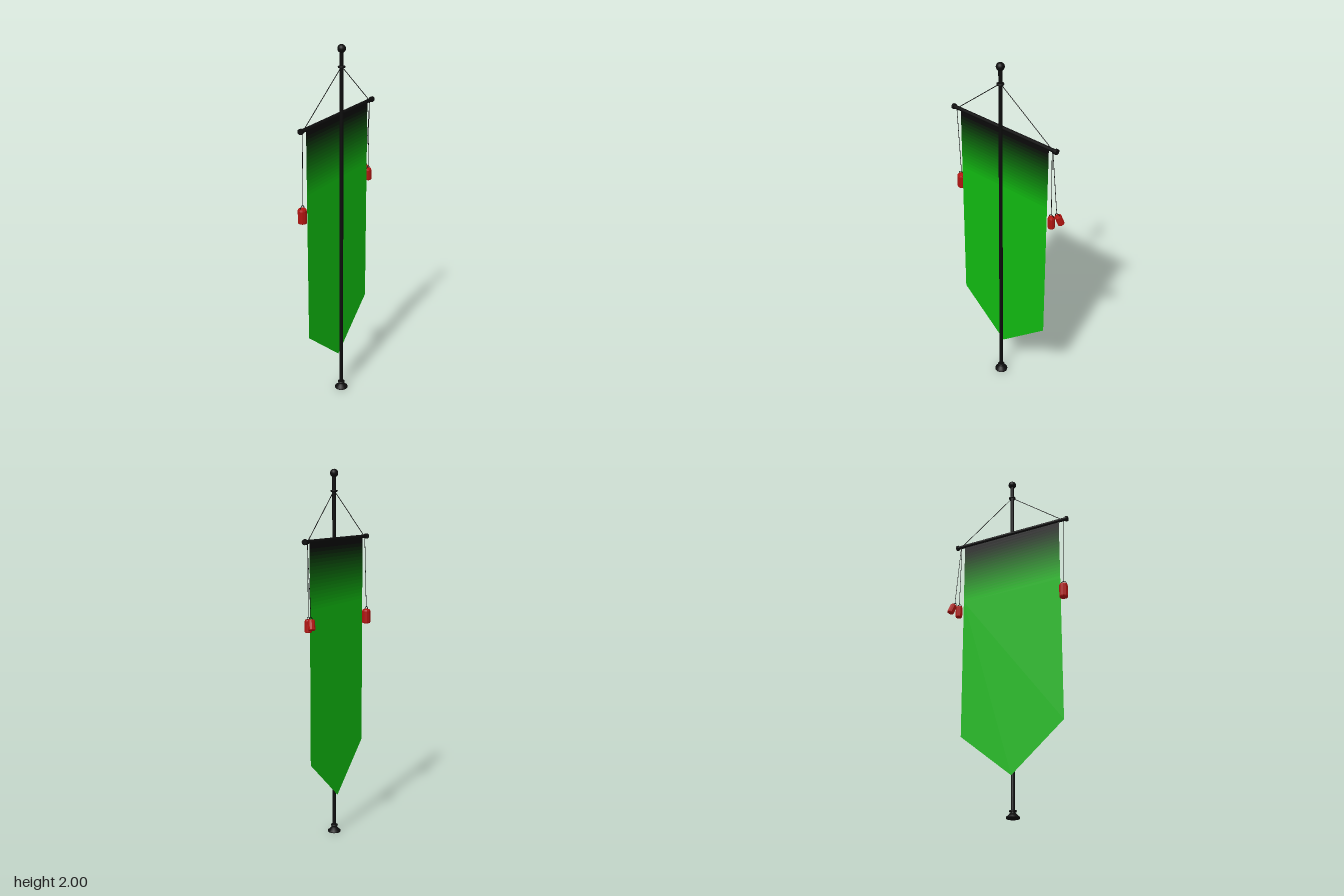
import * as THREE from 'three';

const V = (x, y, z) => new THREE.Vector3(x, y, z);
const UP = V(0, 1, 0);
const POLE_X = 0.022, MID_Z = 0.012, BAR_X = 0.002, BAR_Y = 1.635;

export function createModel() {
  const model = new THREE.Group();
  const black = new THREE.MeshStandardMaterial({ color: 0x0c0c0c });
  const red = new THREE.MeshStandardMaterial({ color: 0xb01410, flatShading: true });

  const add = (name, geometry, material, parent = model) => {
    const mesh = new THREE.Mesh(geometry, material);
    mesh.name = name;
    parent.add(mesh);
    return mesh;
  };

  // Straight round rod between two points
  const rod = (name, a, b, radius, sides = 6) => {
    const mesh = add(name, new THREE.CylinderGeometry(radius, radius, a.distanceTo(b), sides), black);
    mesh.position.copy(a).add(b).multiplyScalar(0.5);
    mesh.quaternion.setFromUnitVectors(UP, b.clone().sub(a).normalize());
    return mesh;
  };

  // Pole with flared foot, collar rings and ball finial
  rod('pole', V(POLE_X, 0.01, MID_Z), V(POLE_X, 1.97, MID_Z), 0.01, 16);
  const foot = [[0, 0], [0.036, 0], [0.036, 0.007], [0.027, 0.014], [0.018, 0.025], [0.01, 0.027]];
  add('foot', new THREE.LatheGeometry(foot.map(p => new THREE.Vector2(...p)), 16), black)
    .position.set(POLE_X, 0, MID_Z);
  for (const [name, y] of [['footCollar', 0.037], ['cordCollar', 1.886]]) {
    const ring = add(name, new THREE.TorusGeometry(0.015, 0.005, 8, 16), black);
    ring.position.set(POLE_X, y, MID_Z);
    ring.rotation.x = Math.PI / 2;
  }
  add('finial', new THREE.SphereGeometry(0.022, 16, 12), black).position.set(POLE_X, 1.978, MID_Z);

  // Crossbar with end caps and the cords that hold it up
  rod('crossbar', V(BAR_X, BAR_Y, MID_Z - 0.35), V(BAR_X, BAR_Y, MID_Z + 0.35), 0.01, 12);
  for (const s of [-1, 1]) {
    rod('crossbarCap', V(BAR_X, BAR_Y, MID_Z + s * 0.343), V(BAR_X, BAR_Y, MID_Z + s * 0.355), 0.015, 12);
    rod('supportCord', V(POLE_X, 1.888, MID_Z), V(BAR_X, BAR_Y + 0.008, MID_Z + s * 0.313), 0.002);
  }

  // Banner panels, drawn in (z, y)
  const panel = (name, corners, color) => {
    const shape = new THREE.Shape(corners.map(([z, y]) => new THREE.Vector2(z, y)));
    const geometry = new THREE.ShapeGeometry(shape).rotateY(-Math.PI / 2);
    add(name, geometry, new THREE.MeshStandardMaterial({ color, side: THREE.DoubleSide })).position.x = BAR_X;
  };
  const z0 = MID_Z - 0.301, z1 = MID_Z + 0.301;
  const fadeTop = BAR_Y, fadeEnd = 1.27, bands = 20;
  panel('bannerBody', [[z0, fadeEnd], [z0, 0.467], [MID_Z, 0.217], [z1, 0.467], [z1, fadeEnd]], 0x10b810);

  // Dark fade across the top of the banner, in narrow bands
  const dark = new THREE.Color(0x0a0a0a), green = new THREE.Color(0x10b810);
  for (let i = 0; i < bands; i++) {
    const top = THREE.MathUtils.lerp(fadeTop, fadeEnd, i / bands);
    const low = THREE.MathUtils.lerp(fadeTop, fadeEnd, (i + 1) / bands);
    const t = THREE.MathUtils.clamp((1.61 - (top + low) / 2) / 0.33, 0, 1);
    panel('bannerFade', [[z0, low], [z1, low], [z1, top], [z0, top]], dark.clone().lerp(green, t ** 1.6));
  }

  // Hanging lanterns: faceted body with a domed lid and wire handle
  const lantern = (top, bottom, radius, anchorZ) => {
    const group = new THREE.Group();
    group.name = 'lantern';
    const h = top.distanceTo(bottom);
    const profile = [[0, 0], [0.92, 0], [1, 0.06], [1, 0.82], [0.85, 0.93], [0, 1]];
    add('lanternBody', new THREE.LatheGeometry(
      profile.map(([r, y]) => new THREE.Vector2(r * radius, y * h)), 10), red, group);
    const handle = add('lanternHandle',
      new THREE.TorusGeometry(radius * 0.75, 0.002, 5, 10, Math.PI), black, group);
    handle.position.y = h * 0.92;
    handle.rotation.y = Math.PI / 2;
    group.position.copy(bottom);
    group.quaternion.setFromUnitVectors(UP, top.clone().sub(bottom).normalize());
    model.add(group);
    const hook = V(0, h * 0.92 + radius * 0.75, 0).applyQuaternion(group.quaternion).add(bottom);
    rod('lanternCord', V(BAR_X, BAR_Y, anchorZ), hook, 0.0016, 5);
  };
  lantern(V(-0.012, 1.228, 0.337), V(-0.012, 1.145, 0.337), 0.024, 0.342);
  lantern(V(-0.003, 1.248, -0.315), V(-0.003, 1.178, -0.317), 0.019, -0.31);
  lantern(V(-0.029, 1.25, -0.333), V(-0.043, 1.196, -0.35), 0.019, -0.314);

  return model;
}
